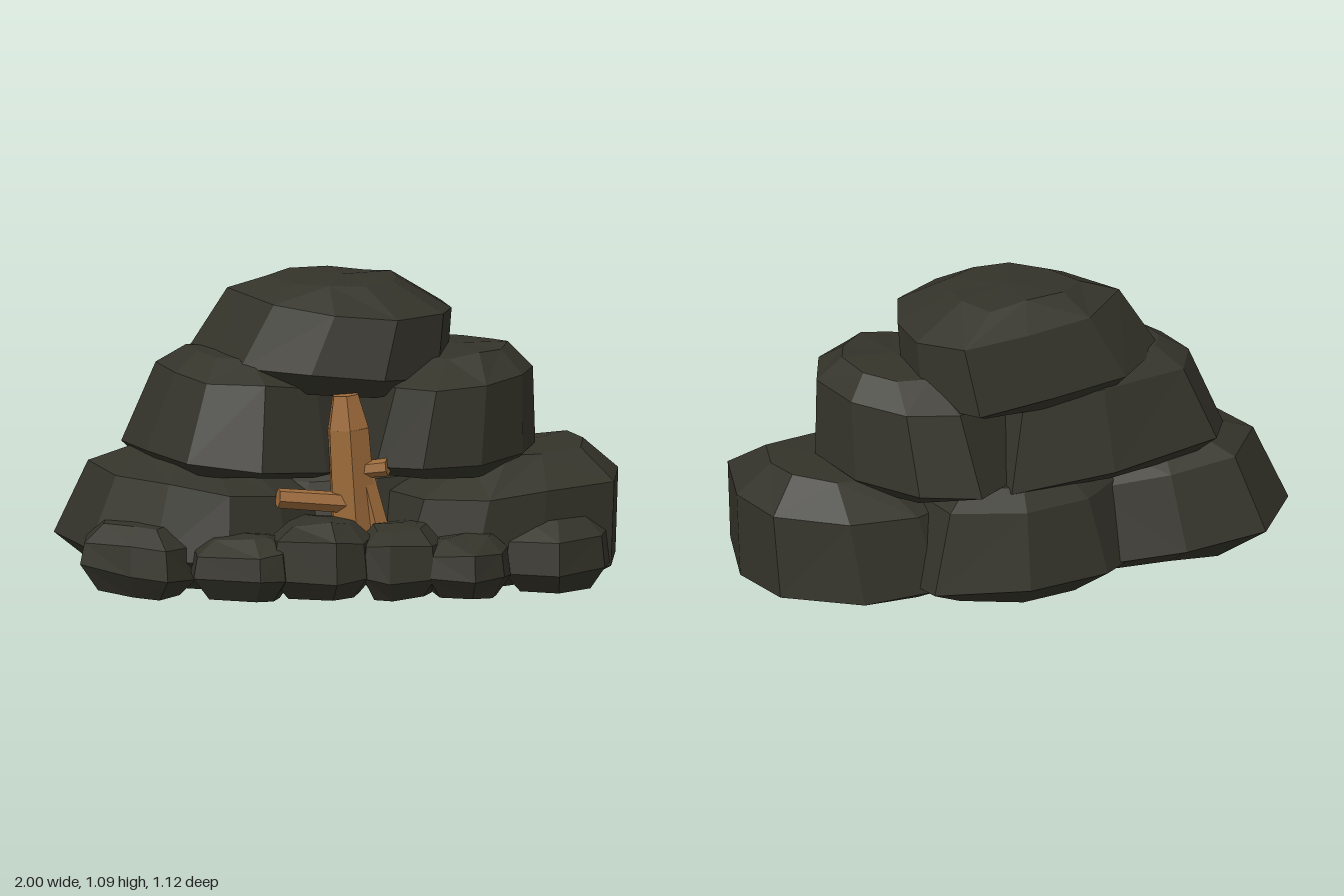
import * as THREE from 'three';

const rockMat = new THREE.MeshStandardMaterial({ color: 0x34332a, flatShading: true });
const woodMat = new THREE.MeshStandardMaterial({ color: 0x9c6a3a, flatShading: true });
rockMat.name = 'dark stone';
woodMat.name = 'brown wood';

// small seeded random generator, -1..1
let seed = 7;
const rnd = () => {
  seed = (seed * 16807) % 2147483647;
  return (seed / 2147483647) * 2 - 1;
};

// Boulder: an [x, z] outline repeated as rings [y, scale, shiftX, shiftZ, slopeX], closed with a flat fan at each end
function boulder(name, outline, rings, jitter = 0.01) {
  const n = outline.length;
  const cx = outline.reduce((s, p) => s + p[0], 0) / n;
  const cz = outline.reduce((s, p) => s + p[1], 0) / n;
  const pos = [], index = [];
  for (const [y, k, dx = 0, dz = 0, slope = 0] of rings) {
    for (const [x, z] of outline) {
      const ox = (x - cx) * k, oz = (z - cz) * k;
      pos.push(cx + ox + dx, y + ox * slope + rnd() * jitter, cz + oz + dz);
    }
  }
  for (let r = 0; r < rings.length - 1; r++) {
    for (let i = 0; i < n; i++) {
      const a = r * n + i, b = r * n + (i + 1) % n, c = b + n, d = a + n;
      // alternate the diagonal for an irregular faceted look
      if (i % 2) index.push(a, d, b, b, d, c);
      else index.push(a, d, c, a, c, b);
    }
  }
  const first = rings[0], last = rings[rings.length - 1];
  const bottom = pos.length / 3, top = bottom + 1, lastRow = (rings.length - 1) * n;
  pos.push(cx + (first[2] || 0), first[0] - 0.005, cz + (first[3] || 0));
  pos.push(cx + (last[2] || 0), last[0] + 0.01, cz + (last[3] || 0));
  for (let i = 0; i < n; i++) {
    const j = (i + 1) % n;
    index.push(i, j, bottom, lastRow + i, top, lastRow + j);
  }
  const geo = new THREE.BufferGeometry();
  geo.setAttribute('position', new THREE.Float32BufferAttribute(pos, 3));
  geo.setIndex(index);
  geo.computeVertexNormals();
  const mesh = new THREE.Mesh(geo, rockMat);
  mesh.name = name;
  return mesh;
}

// Small rock: outline, height and sideways slope
const smallRock = (name, outline, h, slope) => boulder(name, outline, [
  [0.022, 0.7, 0, -0.01, slope / 2], [0.095, 1, 0, 0, slope],
  [h * 0.8, 0.93, 0, 0, slope / 3], [h, 0.6, 0, -0.03],
]);

// Tapered six-sided log between two points
function log(name, a, b, r0, r1) {
  const p = new THREE.Vector3(...a), q = new THREE.Vector3(...b);
  const dir = q.clone().sub(p);
  const mesh = new THREE.Mesh(new THREE.CylinderGeometry(r1, r0, dir.length(), 6), woodMat);
  mesh.position.copy(p).add(q).multiplyScalar(0.5);
  mesh.quaternion.setFromUnitVectors(new THREE.Vector3(0, 1, 0), dir.normalize());
  mesh.name = name;
  return mesh;
}

export function createModel() {
  seed = 7;
  const model = new THREE.Group();
  model.name = 'rockPile';

  // bottom tier
  model.add(boulder('lowerLeftBoulder',
    [[0.95, 0.19], [0.68, 0.31], [0.45, 0.37], [0.2, 0.31], [0.06, 0.08], [0.1, -0.27],
      [0.34, -0.43], [0.62, -0.46], [0.9, -0.35], [0.99, -0.12]],
    [[0.02, 0.72], [0.08, 1], [0.36, 0.91, 0.05, 0.01, 0.04], [0.475, 0.53, 0.1, -0.02, 0.07]]));
  model.add(boulder('lowerRightBoulder',
    [[0.02, -0.1], [-0.05, 0.16], [-0.2, 0.3], [-0.42, 0.37], [-0.68, 0.3], [-0.9, 0.14], [-1, -0.14],
      [-0.86, -0.38], [-0.56, -0.43], [-0.2, -0.4]],
    [[0.025, 0.62], [0.13, 1, 0, 0, -0.09], [0.385, 0.81, 0.02, 0.02, -0.11], [0.47, 0.47, 0, -0.02, -0.08]]));
  model.add(boulder('lowerBackBoulder',
    [[0.5, -0.2], [0.4, 0.1], [0.15, 0.2], [-0.15, 0.2], [-0.4, 0.05], [-0.45, -0.28], [-0.26, -0.48],
      [0.04, -0.56], [0.38, -0.52]],
    [[0.012, 0.66], [0.1, 1], [0.39, 0.8, 0, -0.01], [0.45, 0.6, 0, -0.02]]));

  // middle tier
  model.add(boulder('middleRightBoulder',
    [[0.18, -0.15], [0.06, 0.12], [-0.06, 0.23], [-0.3, 0.34], [-0.56, 0.26], [-0.69, 0.08], [-0.76, -0.15],
      [-0.7, -0.3], [-0.3, -0.42], [0.08, -0.44]],
    [[0.42, 0.8], [0.465, 1, 0, 0, -0.09], [0.75, 0.78, 0.02, 0, -0.07], [0.83, 0.46, -0.02, -0.02, -0.04]]));
  model.add(boulder('middleLeftBoulder',
    [[0.7, -0.05], [0.64, 0.16], [0.48, 0.32], [0.27, 0.36], [0.11, 0.27], [0, 0.02], [0, -0.32],
      [0.2, -0.49], [0.42, -0.46], [0.61, -0.28]],
    [[0.42, 0.82], [0.465, 1, 0, 0, 0.04], [0.75, 0.86, 0.04, 0.02, 0.03], [0.84, 0.53, 0.07, 0, 0.04]]));

  // top
  model.add(boulder('topBoulder',
    [[0.39, -0.08], [0.34, 0.13], [0.14, 0.28], [-0.12, 0.28], [-0.36, 0.13], [-0.53, -0.15], [-0.36, -0.34],
      [-0.08, -0.41], [0.2, -0.46], [0.36, -0.28]],
    [[0.71, 0.82], [0.78, 1, 0, 0, -0.08], [1.0, 0.86, 0.07, 0.01, -0.09], [1.085, 0.5, 0.02, 0, -0.03]]));

  // row of small rocks along the front: outline, height, slope
  [
    [[[-0.53, 0.3], [-0.64, 0.42], [-0.77, 0.38], [-0.94, 0.28], [-0.92, 0.12], [-0.7, 0.06], [-0.55, 0.12]], 0.26, -0.12],
    [[[-0.19, 0.4], [-0.23, 0.51], [-0.32, 0.54], [-0.55, 0.44], [-0.55, 0.3], [-0.42, 0.18], [-0.24, 0.2]], 0.235, 0],
    [[[0.1, 0.36], [0.06, 0.49], [-0.05, 0.55], [-0.27, 0.49], [-0.28, 0.32], [-0.18, 0.17], [0.05, 0.17]], 0.29, 0],
    [[[0.35, 0.36], [0.3, 0.5], [0.14, 0.52], [0.05, 0.48], [0.04, 0.32], [0.12, 0.18], [0.3, 0.19]], 0.265, 0],
    [[[0.58, 0.36], [0.55, 0.47], [0.44, 0.555], [0.28, 0.5], [0.25, 0.34], [0.33, 0.19], [0.52, 0.2]], 0.225, 0],
    [[[0.95, 0.17], [0.92, 0.29], [0.75, 0.41], [0.56, 0.34], [0.55, 0.16], [0.7, 0.06], [0.88, 0.06]], 0.265, 0.04],
  ].forEach((r, i) => model.add(smallRock('frontRock' + (i + 1), ...r)));

  // dead stump wedged in the gap
  const stump = new THREE.Group();
  stump.name = 'deadStump';
  stump.add(
    log('trunkBase', [0.04, 0.2, 0.23], [0.015, 0.6, 0.23], 0.09, 0.08),
    log('trunkTop', [0.015, 0.6, 0.23], [0.005, 0.72, 0.23], 0.08, 0.05),
    log('root', [0.11, 0.25, 0.25], [0.06, 0.45, 0.24], 0.05, 0.045),
    log('longBranch', [0.02, 0.335, 0.26], [-0.24, 0.363, 0.3], 0.038, 0.036),
    log('shortBranch', [0.04, 0.45, 0.25], [0.15, 0.467, 0.29], 0.03, 0.032),
  );
  model.add(stump);
  return model;
}
